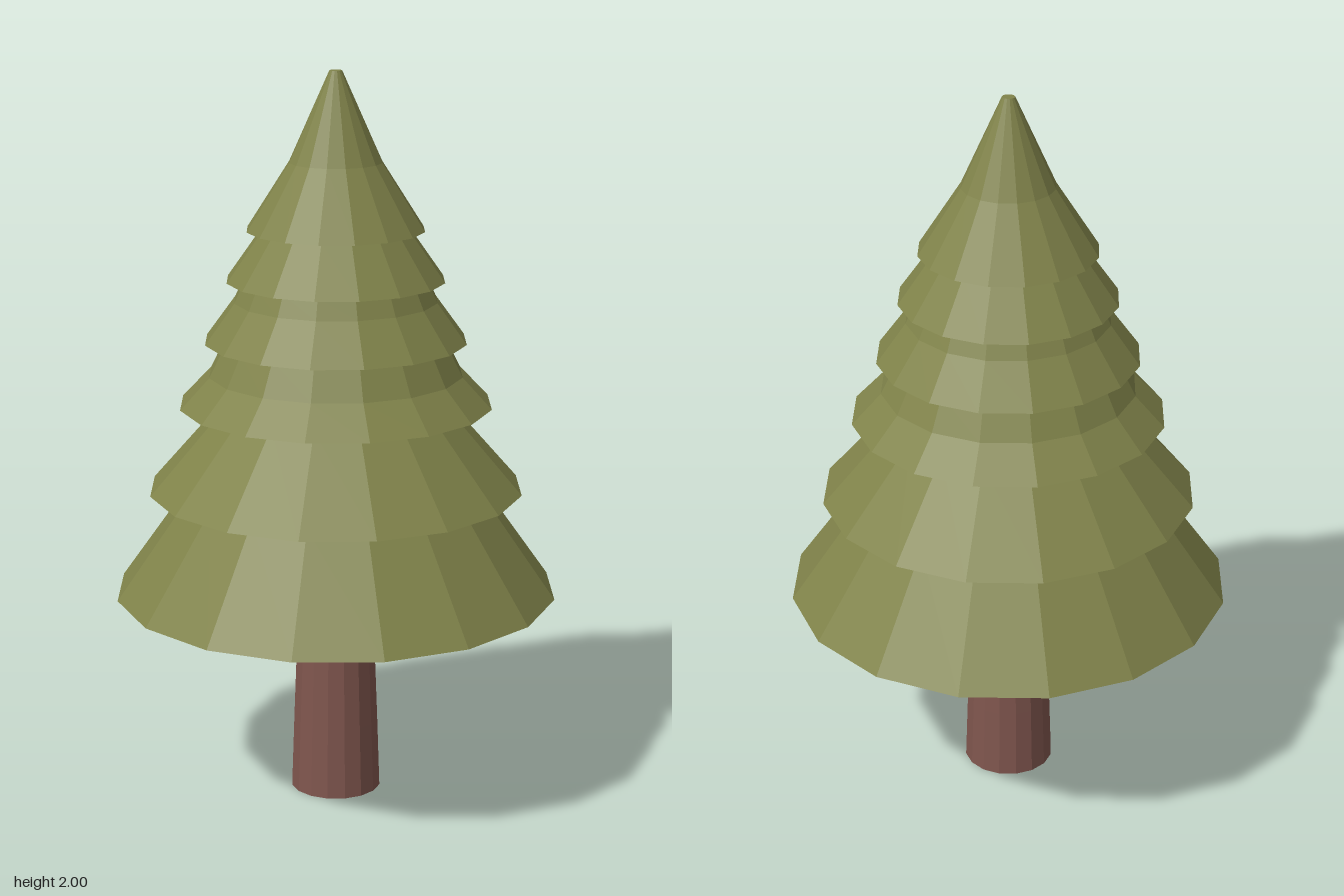
import * as THREE from 'three';

const SIDES = 16;

// Each tier: [radius, height] from its rim up to the underside of the next tier
const TIERS = [
  [[0.605, 0.58], [0.4, 0.87]],
  [[0.51, 0.87], [0.305, 1.105]],
  [[0.425, 1.105], [0.345, 1.19], [0.3, 1.28]],
  [[0.355, 1.28], [0.275, 1.39], [0.25, 1.445]],
  [[0.295, 1.445], [0.2, 1.58]],
  [[0.24, 1.58], [0.125, 1.76], [0.017, 2], [0, 2]],
];

// Faceted solid of revolution, closed underneath
function turned(name, profile, material) {
  const points = [[0, profile[0][1]], ...profile].map(([r, y]) => new THREE.Vector2(r, y));
  const mesh = new THREE.Mesh(new THREE.LatheGeometry(points, SIDES), material);
  mesh.name = name;
  return mesh;
}

export function createModel() {
  const tree = new THREE.Group();
  tree.name = 'pineTree';
  const needles = new THREE.MeshStandardMaterial({ color: 0x80834a, flatShading: true });
  const bark = new THREE.MeshStandardMaterial({ color: 0x80564e, flatShading: true });

  // Stacked skirts of foliage
  const foliage = new THREE.Group();
  foliage.name = 'foliage';
  TIERS.forEach((profile, i) => foliage.add(turned(`foliageTier${i + 1}`, profile, needles)));
  tree.add(foliage);

  // Slightly tapering trunk
  tree.add(turned('trunk', [[0.125, 0], [0.118, 0.2], [0.107, 0.48], [0.104, 0.6]], bark));
  return tree;
}
